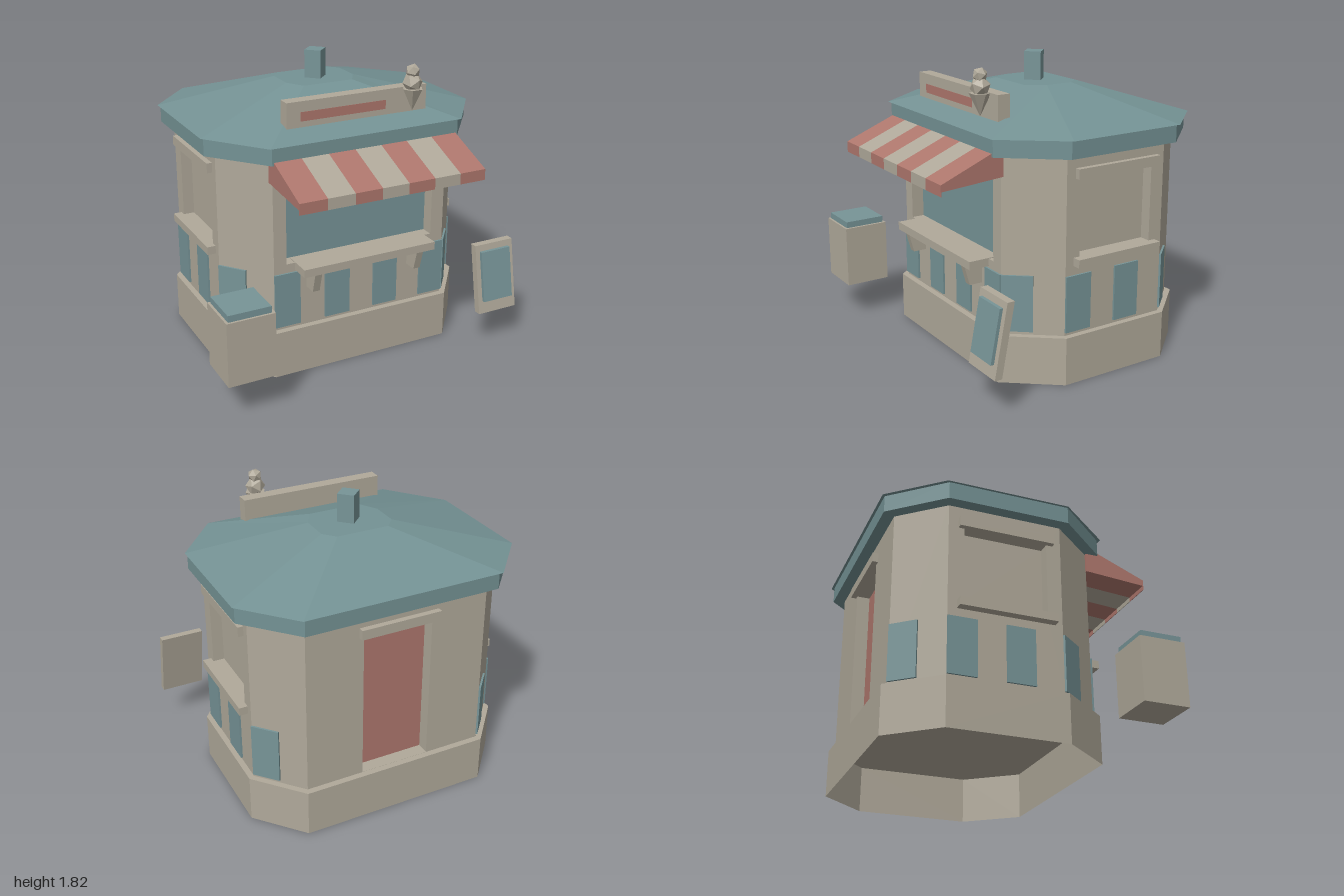
import * as THREE from 'three';

const mat = (name, color, side = THREE.FrontSide) => {
  const m = new THREE.MeshStandardMaterial({ color, side });
  m.name = name;
  return m;
};

export function createModel() {
  const cream = mat('cream', 0xb0a99a, THREE.DoubleSide);
  const teal = mat('teal', 0x749294);
  const glass = mat('glass blue', 0x779497);
  const red = mat('faded red', 0xae776d);

  const model = new THREE.Group();
  model.name = 'kiosk';
  const CX = 0.03, CZ = -0.155; // centre of the building

  const add = (name, geo, material, parent = model) => {
    const m = new THREE.Mesh(geo, material);
    m.name = name;
    parent.add(m);
    return m;
  };
  // Box given by its limits
  const box = (name, material, x0, x1, y0, y1, z0, z1, parent) => {
    const m = add(name, new THREE.BoxGeometry(x1 - x0, y1 - y0, z1 - z0), material, parent);
    m.position.set((x0 + x1) / 2, (y0 + y1) / 2, (z0 + z1) / 2);
    return m;
  };
  // Side profile of [z, y] points, extruded from x0 to x1
  const profile = (name, material, pts, x0, x1) => {
    const shape = new THREE.Shape(pts.map(p => new THREE.Vector2(p[0], p[1])));
    const geo = new THREE.ExtrudeGeometry(shape, { depth: x1 - x0, bevelEnabled: false });
    geo.rotateY(-Math.PI / 2);
    geo.translate(x1, 0, 0);
    return add(name, geo, material);
  };
  // Octagon: a = half front edge, hx = half width, b = half side edge, hz = half depth
  // The side edges sit a little further back than the middle.
  const octagon = (a, hx, b, hz, s = -0.014) =>
    [[a, hz], [hx, b + s], [hx, s - b], [a, -hz], [-a, -hz], [-hx, s - b], [-hx, b + s], [-a, hz]]
      .map(([x, z]) => [x + CX, z + CZ]);
  // Solid between a lower and an upper octagon, with or without a bottom
  const loft = (name, material, lo, y0, hi, y1, bottom = true) => {
    const v = [];
    for (let i = 0; i < 8; i++) {
      const j = (i + 1) % 8;
      const A = [lo[i][0], y0, lo[i][1]], B = [lo[j][0], y0, lo[j][1]];
      const C = [hi[j][0], y1, hi[j][1]], D = [hi[i][0], y1, hi[i][1]];
      v.push(...A, ...B, ...C, ...A, ...C, ...D, CX, y1, CZ, ...D, ...C);
      if (bottom) v.push(CX, y0, CZ, ...B, ...A);
    }
    const g = new THREE.BufferGeometry();
    g.setAttribute('position', new THREE.Float32BufferAttribute(v, 3));
    g.computeVertexNormals();
    return add(name, g, material);
  };

  // Plinth (hollow from below), eaves and roof
  const plinth = octagon(0.595, 0.845, 0.36, 0.658);
  loft('plinth', cream, plinth, 0, plinth, 0.295, false);
  const eaves = octagon(0.61, 0.885, 0.372, 0.691);
  loft('eaves', teal, eaves, 1.365, eaves, 1.47);
  loft('roof', teal, octagon(0.625, 0.9, 0.377, 0.707, -0.022), 1.47,
    octagon(0.165, 0.23, 0.09, 0.183, -0.02), 1.645);

  // Walls: [x0, x1, y0, y1] openings measured along each wall
  const front = { opening: [0.082, 1.075, 0.715, 1.26], depth: 0.08, fill: glass, units: 7 };
  const side = { opening: [0.096, 0.606, 0.765, 1.23], depth: 0.07, fill: cream, units: 4 };
  const back = { opening: [0.36, 0.8, 0.297, 1.23], depth: 0.08, fill: red, units: 0 };
  const corner = { units: 2, depth: 0.06 };
  const kinds = [corner, side, corner, back, corner, side, corner, front];
  const body = octagon(0.58, 0.81, 0.348, 0.62);
  kinds.forEach((k, i) => {
    const p = body[i], q = body[(i + 1) % 8];
    const dx = q[0] - p[0], dz = q[1] - p[1], len = Math.hypot(dx, dz);
    const wall = new THREE.Group();
    wall.name = 'wallSection';
    wall.position.set(p[0], 0, p[1]);
    wall.rotation.y = Math.atan2(-dz, dx);
    model.add(wall);

    const rect = (C, x0, x1, y0, y1) => new C([
      new THREE.Vector2(x0, y0), new THREE.Vector2(x1, y0),
      new THREE.Vector2(x1, y1), new THREE.Vector2(x0, y1)]);
    const shape = rect(THREE.Shape, 0, len, 0.296, 1.37);
    if (k.opening) {
      const [x0, x1, y0, y1] = k.opening;
      shape.holes.push(rect(THREE.Path, x0, x1, y0, y1));
      box(k === back ? 'door' : 'windowPane', k.fill,
        x0 - 0.02, x1 + 0.02, y0, y1 + 0.02, -k.depth - 0.02, -k.depth, wall);
    }
    const geo = new THREE.ExtrudeGeometry(shape, { depth: k.depth, bevelEnabled: false });
    geo.translate(0, 0, -k.depth);
    add('wall', geo, cream, wall);

    // Blue panels on every second unit of the wall
    const w = len / (k.units || 1);
    for (let u = 0; u < k.units; u += 2)
      box('lowerPanel', glass, u * w, (u + 1) * w, 0.316, 0.66, -0.005, 0.012, wall);

    // Lintels and sills
    if (k === side) {
      box('windowLintel', cream, 0.06, 0.645, 1.23, 1.29, -0.01, 0.033, wall);
      box('windowSill', cream, 0.055, 0.65, 0.715, 0.765, -0.01, 0.053, wall);
    }
    if (k === back) box('doorLintel', cream, 0.33, 0.84, 1.23, 1.29, -0.01, 0.035, wall);
  });

  // Serving counter with two brackets
  box('counter', cream, -0.415, 0.475, 0.67, 0.72, 0.4, 0.595);
  for (const x of [-0.34, 0.355])
    profile('counterBracket', cream, [[0.455, 0.67], [0.585, 0.67], [0.55, 0.545], [0.455, 0.545]], x, x + 0.045);

  // Striped awning with a thin hanging valance
  const stripe = 1.197 / 7;
  for (let i = 0; i < 7; i++) {
    const x = -0.57 + i * stripe, colour = i % 2 ? cream : red;
    profile('awningStripe', colour,
      [[0.46, 1.415], [0.855, 1.255], [0.855, 1.215], [0.46, 1.242]], x, x + stripe);
    box('awningValance', colour, x, x + stripe, 1.188, 1.255, 0.852, 0.856);
  }

  // Roof sign with a painted band
  box('sign', cream, -0.43, 0.49, 1.52, 1.673, 0.328, 0.408);
  box('signBand', red, -0.342, 0.212, 1.555, 1.61, 0.405, 0.41);

  // Chimney turned by an eighth
  const chimney = box('chimney', glass, -0.052, 0.052, 1.6, 1.82, -0.052, 0.052);
  chimney.position.set(0.028, 1.71, -0.148);
  chimney.rotation.y = Math.PI / 4;

  // Ice cream ornament
  const coneGeo = new THREE.ConeGeometry(0.064, 0.135, 6).toNonIndexed();
  coneGeo.computeVertexNormals();
  coneGeo.rotateX(Math.PI).rotateY(Math.PI / 6);
  add('iceCreamCone', coneGeo, cream).position.set(0.369, 1.603, 0.45);
  for (const [y, r, turn] of [[1.707, 0.062, 0.3], [1.773, 0.045, 0.8]]) {
    const scoop = add('iceCreamScoop', new THREE.IcosahedronGeometry(r, 0), cream);
    scoop.position.set(0.368, y, 0.448);
    scoop.rotation.set(0.2, turn, 0.1);
  }

  // Freezer bin on the right
  box('bin', cream, -1, -0.708, 0.235, 0.63, 0.547, 0.834);
  box('binLid', glass, -0.985, -0.725, 0.63, 0.67, 0.562, 0.82);

  // Leaning menu board on the left
  profile('menuBoard', cream, [[0.627, 0.67], [0.673, 0.67], [0.755, 0.235], [0.709, 0.235]], 0.725, 1);
  profile('menuPanel', glass, [[0.678, 0.63], [0.701, 0.63], [0.761, 0.315], [0.738, 0.315]], 0.755, 0.967);

  return model;
}
